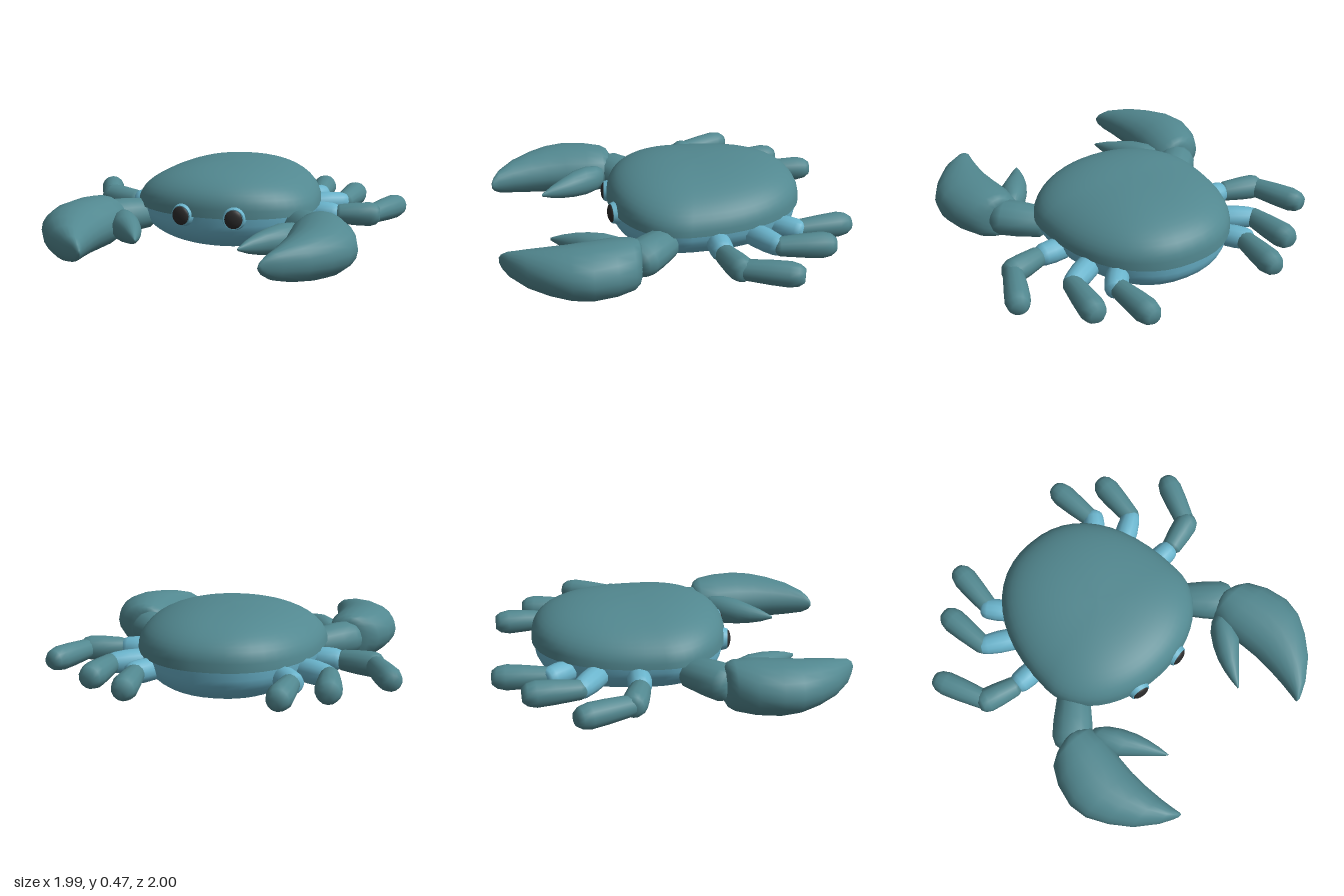
import * as THREE from 'three';

const shellMat = new THREE.MeshStandardMaterial({ color: 0x528890 });
shellMat.name = 'shell teal';
const softMat = new THREE.MeshStandardMaterial({ color: 0x6ab4cc });
softMat.name = 'pale blue';
const eyeMat = new THREE.MeshStandardMaterial({ color: 0x2c2c2c });
eyeMat.name = 'eye black';

const MID = 0.185; // height of the limbs

function add(parent, name, geometry, material) {
  const mesh = new THREE.Mesh(geometry, material);
  mesh.name = name;
  parent.add(mesh);
  return mesh;
}

// Skins a list of closed rings, each an array of [x, y, z]
function loft(rings) {
  const n = rings[0].length, index = [];
  for (let i = 0; i < rings.length - 1; i++) {
    for (let j = 0; j < n; j++) {
      const k = (j + 1) % n, a = i * n, b = a + n;
      index.push(a + j, a + k, b + k, a + j, b + k, b + j);
    }
  }
  const g = new THREE.BufferGeometry();
  g.setAttribute('position', new THREE.Float32BufferAttribute(rings.flat(2), 3));
  g.setIndex(index);
  g.computeVertexNormals();
  return g;
}

// Egg-shaped ring of the body; r shrinks it, h is its full dome height
const SEAM = 0.243;
function bodyRing(t, size, h, n = 48) {
  const ring = [];
  for (let j = 0; j < n; j++) {
    const a = (j / n) * Math.PI * 2, c = Math.cos(a), s = -Math.sin(a);
    const e = 2 / (s > 0 ? 2.05 : 2.25);
    const x = 0.535 * Math.sign(c) * Math.abs(c) ** e;
    const z = -0.05 + (s > 0 ? 0.395 : 0.73) * Math.sign(s) * Math.abs(s) ** e;
    const p = 2.15 + 0.65 * s * s; // the dome is squarer lengthwise
    const r = Math.cos(t) ** (2 / p), y = Math.sin(t) ** (2 / p);
    ring.push([x * r * size, SEAM + y * h, -0.18 + (z + 0.18) * r * size]);
  }
  return ring;
}

function dome(size, h, steps = 14) {
  const rings = [];
  for (let i = 0; i <= steps; i++) {
    const t = i === steps ? Math.PI / 2 : (i / steps) * Math.PI / 2;
    rings.push(bodyRing(t, size, h));
  }
  return rings;
}

// Rounded tapered limb segment between two [x, z] points
function limb(parent, name, material, from, to, r0, r1, flat = 1) {
  const dx = to[0] - from[0], dz = to[1] - from[1], L = Math.hypot(dx, dz);
  const profile = [[0, 0], [r0 * 0.7, 0.01 * L], [r0 * 0.95, 0.1 * L], [(r0 + r1) * 0.515, 0.5 * L],
    [r1, 0.78 * L], [r1 * 0.85, 0.92 * L], [r1 * 0.55, L], [0, L]];
  const g = new THREE.LatheGeometry(profile.map(p => new THREE.Vector2(...p)), 14);
  g.rotateX(Math.PI / 2).scale(1, flat, 1).rotateY(Math.atan2(dx, dz));
  add(parent, name, g, material).position.set(from[0], MID, from[1]);
}

// Claw finger from rows of [z, inner x, outer x, half height]
function finger(rows, side, n = 20) {
  const first = rows[0], last = rows[rows.length - 1];
  const tip = r => [r[0], (r[1] + r[2]) / 2, (r[1] + r[2]) / 2, 0];
  return loft([tip(first), ...rows, tip(last)].map(([z, x0, x1, h]) =>
    Array.from({ length: n }, (_, j) => {
      const a = (j / n) * Math.PI * 2;
      return [side * (x0 + x1) / 2 + (x1 - x0) / 2 * Math.cos(a), MID + h * Math.sin(a), z];
    })));
}

const BIG_FINGER = [
  [0.25, 0.57, 0.69, 0.1], [0.265, 0.53, 0.745, 0.125], [0.3, 0.495, 0.805, 0.138], [0.4, 0.485, 0.86, 0.147],
  [0.53, 0.5, 0.89, 0.146], [0.64, 0.508, 0.872, 0.137], [0.75, 0.505, 0.81, 0.122],
  [0.86, 0.495, 0.72, 0.1], [0.95, 0.482, 0.6, 0.07], [0.985, 0.475, 0.53, 0.04], [0.998, 0.475, 0.5, 0.015]];
const THUMB = [
  [0.31, 0.47, 0.55, 0.05], [0.35, 0.42, 0.56, 0.075], [0.42, 0.37, 0.55, 0.085], [0.5, 0.33, 0.51, 0.077],
  [0.57, 0.308, 0.435, 0.06], [0.64, 0.293, 0.365, 0.038], [0.705, 0.285, 0.295, 0.008]];

// Each leg: pale joint, then one or two shell segments: [from, to, r0, r1]
const LEGS = [
  ['frontLeg', [[0.46, -0.2], [0.645, -0.205], 0.068, 0.064],
    [[0.62, -0.2], [0.87, -0.27], 0.062, 0.072], [[0.815, -0.24], [0.95, -0.565], 0.06, 0.07]],
  ['middleLeg', [[0.42, -0.41], [0.635, -0.54], 0.07, 0.06], [[0.605, -0.49], [0.64, -0.835], 0.058, 0.074]],
  ['rearLeg', [[0.34, -0.56], [0.46, -0.71], 0.066, 0.062], [[0.425, -0.64], [0.4, -0.998], 0.056, 0.072]]];

export function createModel() {
  const crab = new THREE.Group();
  crab.name = 'crab';

  // Body: shell with a small underside lip, and the belly below it
  const lip = [bodyRing(0, 0.94, 0), bodyRing(0, 1, 0)];
  add(crab, 'shell', loft([...lip, ...dome(1, 0.237)]), shellMat);
  add(crab, 'belly', loft(dome(0.975, -0.238).reverse()), softMat);

  for (const side of [1, -1]) {
    const label = side > 0 ? 'left' : 'right';
    const m = ([x, z]) => [side * x, z];

    // Eye: pale socket with a dark domed pupil
    const eye = new THREE.Group();
    eye.name = label + 'Eye';
    eye.position.set(side * 0.15, 0.247, 0.312);
    eye.rotation.y = side * 0.16;
    crab.add(eye);
    add(eye, 'socket', new THREE.CylinderGeometry(0.058, 0.072, 0.045, 24).rotateX(Math.PI / 2), softMat)
      .position.z = 0.012;
    add(eye, 'pupil', new THREE.SphereGeometry(0.052, 24, 12).scale(1, 1.05, 0.42), eyeMat).position.z = 0.031;

    // Claw
    const claw = new THREE.Group();
    claw.name = label + 'Claw';
    crab.add(claw);
    limb(claw, 'arm', shellMat, m([0.43, 0.07]), m([0.66, 0.3]), 0.105, 0.117, 0.88);
    add(claw, 'bigFinger', finger(BIG_FINGER, side), shellMat);
    add(claw, 'thumb', finger(THUMB, side), shellMat);

    // Legs
    for (const [name, ...segments] of LEGS) {
      const leg = new THREE.Group();
      leg.name = label + name[0].toUpperCase() + name.slice(1);
      crab.add(leg);
      segments.forEach(([from, to, r0, r1], i) =>
        limb(leg, i ? 'segment' + i : 'joint', i ? shellMat : softMat, m(from), m(to), r0, r1));
    }
  }
  return crab;
}
